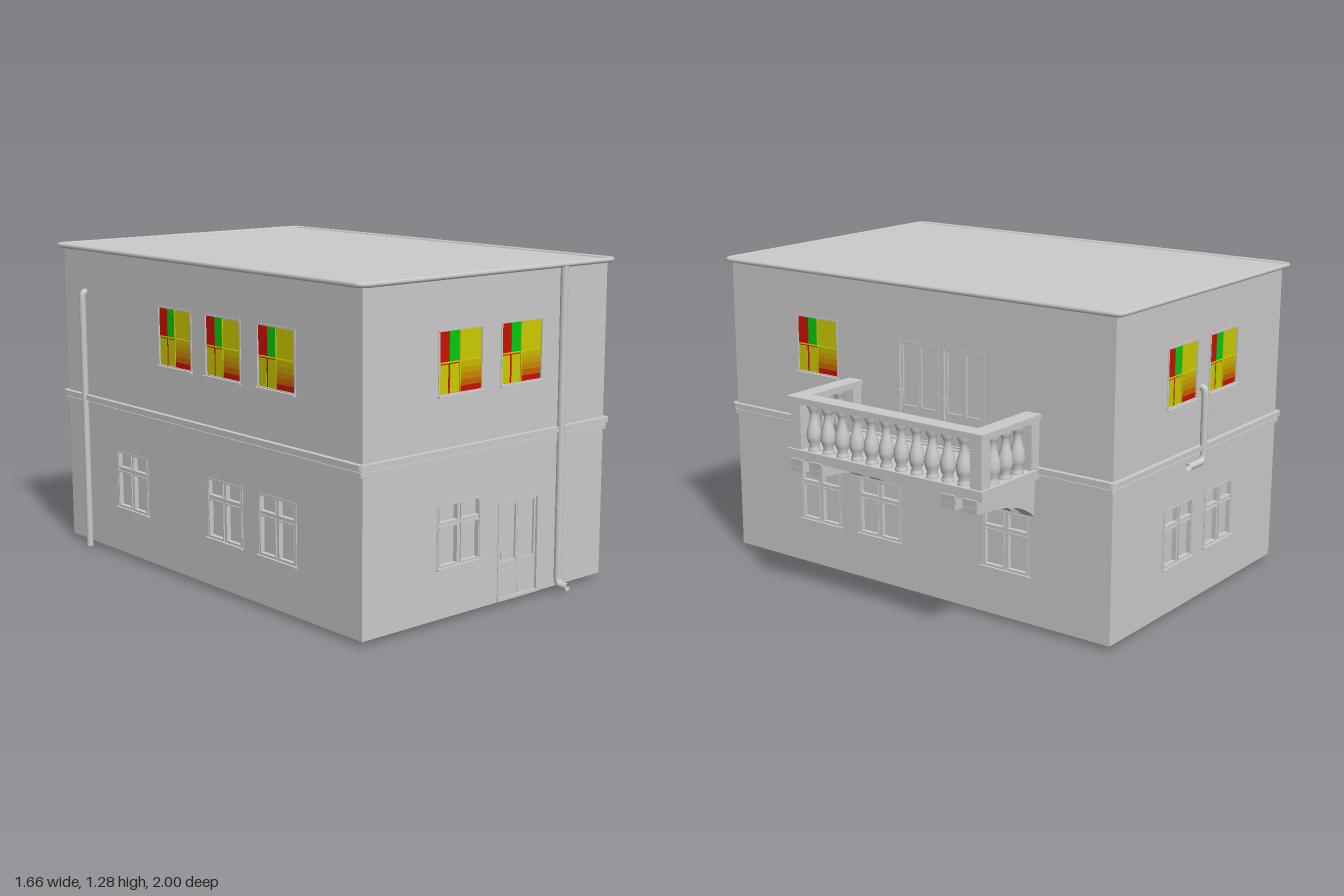
import * as THREE from 'three';

const mat = (color) => new THREE.MeshStandardMaterial({ color, side: THREE.DoubleSide });
const grey = mat(0xcccccc);
const yellow = mat(0xcccc00), green = mat(0x00cc11), red = mat(0xcc1100);
const fade = [0, 1, 2, 3, 4].map((i) => mat(new THREE.Color(0xcccc00).lerp(new THREE.Color(0xcc1100), 1 - i / 5)));

// House body extents
const X0 = -0.8, X1 = 0.46, Z0 = -0.965, Z1 = 0.93, Y0 = 0.02, Y1 = 1.275;
const CX = (X0 + X1) / 2, CZ = (Z0 + Z1) / 2;

function add(parent, name, geo, x = 0, y = 0, z = 0, material = grey) {
  const m = new THREE.Mesh(geo, material);
  m.name = name;
  m.position.set(x, y, z);
  parent.add(m);
  return m;
}
const box = (p, name, w, h, d, x, y, z, m) => add(p, name, new THREE.BoxGeometry(w, h, d), x, y, z, m);

function rect(Type, x0, y0, x1, y1) {
  return new Type([[x0, y0], [x1, y0], [x1, y1], [x0, y1]].map(([x, y]) => new THREE.Vector2(x, y)));
}

function roundRect(hw, hh, r) {
  const s = new THREE.Shape();
  s.absarc(hw - r, hh - r, r, 0, Math.PI / 2);
  s.absarc(r - hw, hh - r, r, Math.PI / 2, Math.PI);
  s.absarc(r - hw, r - hh, r, Math.PI, Math.PI * 1.5);
  s.absarc(hw - r, r - hh, r, Math.PI * 1.5, Math.PI * 2);
  s.closePath();
  return s;
}

// Thin frame around an opening, reaching into the house
function frame(p, x0, y0, x1, y1, t, depth) {
  const s = rect(THREE.Shape, x0, y0, x1, y1);
  s.holes.push(rect(THREE.Path, x0 + t, y0 + t, x1 - t, y1 - t));
  add(p, 'openingFrame', new THREE.ExtrudeGeometry(s, { depth, bevelEnabled: false }), 0, 0, 0.003 - depth);
}

const W = 0.225, H = 0.24;

function makeWindow(u, y, coloured) {
  const g = new THREE.Group();
  g.name = coloured ? 'upperWindow' : 'lowerWindow';
  g.position.set(u, y, 0);
  frame(g, -W / 2, 0, W / 2, H, 0.007, 0.035);
  box(g, 'sill', W + 0.006, 0.007, 0.02, 0, 0, 0.003);
  const pane = (x0, x1, y0, y1, m, z = -0.006) =>
    box(g, 'pane', x1 - x0, y1 - y0, 0.006, (x0 + x1) / 2, (y0 + y1) / 2, z, m);
  if (coloured) {
    pane(-0.107, -0.055, 0.122, 0.234, red);
    pane(-0.052, -0.005, 0.122, 0.234, green);
    pane(0, 0.107, 0.122, 0.234, yellow);
    pane(-0.107, -0.002, 0.006, 0.12, red, -0.008);
    pane(-0.104, -0.06, 0.008, 0.112, yellow);
    pane(-0.05, -0.006, 0.008, 0.112, yellow);
    fade.forEach((m, i) => pane(0, 0.107, 0.006 + i * 0.022, 0.028 + i * 0.022, m));
    box(g, 'transom', W, 0.004, 0.01, 0, 0.119, -0.005, yellow);
    box(g, 'mullion', 0.004, H, 0.01, -0.002, H / 2, -0.005, yellow);
  } else {
    pane(-0.107, 0.107, 0.006, 0.234, grey, -0.02);
    box(g, 'mullion', 0.022, H - 0.01, 0.02, 0, H / 2, -0.012);
    box(g, 'transom', W - 0.01, 0.014, 0.02, 0, 0.164, -0.012);
    for (const s of [-1, 1]) {
      const a = s * 0.055 - 0.048, b = s * 0.055 + 0.048;
      frame(g, a, 0.17, b, 0.236, 0.004, 0.018);
      frame(g, a, 0.006, b, 0.158, 0.006, 0.018);
    }
  }
  return g;
}

// Double door with tall glass panels and a lever handle
function makeDoor(u, y, w, h, glassFrom) {
  const g = new THREE.Group();
  g.name = 'doubleDoor';
  g.position.set(u, y, 0);
  frame(g, -w / 2, 0, w / 2, h, 0.012, 0.03);
  for (const s of [-1, 1]) {
    const lw = w / 2 - 0.013, x = s * (lw / 2 + 0.0005);
    const leaf = rect(THREE.Shape, x - lw / 2, 0, x + lw / 2, h - 0.012);
    leaf.holes.push(rect(THREE.Path, x - lw / 2 + 0.009, glassFrom, x + lw / 2 - 0.009, h - 0.022));
    add(g, 'doorLeaf', new THREE.ExtrudeGeometry(leaf, { depth: 0.014, bevelEnabled: false }), 0, 0, -0.02);
    box(g, 'doorGlass', lw - 0.018, h - 0.022 - glassFrom, 0.003, x, (h - 0.022 + glassFrom) / 2, -0.016);
  }
  box(g, 'doorHandle', 0.03, 0.006, 0.006, -w / 2 + 0.024, h * 0.49, 0.01);
  box(g, 'handlePlate', 0.008, 0.03, 0.02, -w / 2 + 0.014, h * 0.47, -0.002);
  return g;
}

// Wall in its own plane: u runs along it, +z points out of the house
function makeWall(name, x, z, turn, u0, u1, upper, lower, doors = []) {
  const g = new THREE.Group();
  g.name = name;
  g.position.set(x, 0, z);
  g.rotation.y = turn;
  const s = rect(THREE.Shape, u0, Y0, u1, Y1);
  for (const [list, y, col] of [[upper, 0.845, true], [lower, 0.21, false]]) {
    for (const u of list) {
      s.holes.push(rect(THREE.Path, u - W / 2, y, u + W / 2, y + H));
      g.add(makeWindow(u, y, col));
    }
  }
  for (const [u, y, w, h, glass] of doors) {
    s.holes.push(rect(THREE.Path, u - w / 2, y + 0.0005, u + w / 2, y + h));
    g.add(makeDoor(u, y, w, h, glass));
  }
  add(g, 'wallPanel', new THREE.ShapeGeometry(s));
  return g;
}

// Moulding ring running around the house
function band(p, name, out, y, h) {
  const s = roundRect((X1 - X0) / 2 + out, (Z1 - Z0) / 2 + out, out);
  s.holes.push(rect(THREE.Path, X0 - CX, Z0 - CZ, X1 - CX, Z1 - CZ));
  const geo = new THREE.ExtrudeGeometry(s, { depth: h, bevelEnabled: false }).rotateX(-Math.PI / 2);
  add(p, name, geo, CX, y, CZ);
}

// Round pipe through points, with tight bends
function pipe(p, name, pts, r) {
  const v = pts.map((a) => new THREE.Vector3(...a)), path = new THREE.CurvePath(), bend = 0.03;
  let from = v[0];
  for (let i = 1; i < v.length - 1; i++) {
    const cut = (q) => v[i].clone().add(q.clone().sub(v[i]).setLength(Math.min(bend, q.distanceTo(v[i]) * 0.6)));
    const a = cut(v[i - 1]), b = cut(v[i + 1]);
    path.add(new THREE.LineCurve3(from, a));
    path.add(new THREE.QuadraticBezierCurve3(a, v[i], b));
    from = b;
  }
  path.add(new THREE.LineCurve3(from, v[v.length - 1]));
  add(p, name, new THREE.TubeGeometry(path, 120, r, 14));
}

function makeBalcony() {
  const g = new THREE.Group();
  g.name = 'balcony';
  const zf = 0.29, zb = -0.65, xo = 0.825, zc = (zf + zb) / 2, len = zf - zb, t = 0.07;
  box(g, 'balconyFloor', xo - X1, 0.035, len, (xo + X1) / 2, 0.6325, zc);
  box(g, 'floorEdge', xo - X1 - 0.012, 0.012, len - 0.024, (xo + X1) / 2 - 0.006, 0.612, zc);
  // Handrail, with a slimmer strip beneath it
  for (const [y, h, inset] of [[0.851, 0.016, 0], [0.837, 0.012, 0.008]]) {
    const w = t - 2 * inset;
    box(g, 'frontRail', w, h, len - 2 * inset, xo - t / 2, y, zc);
    for (const z of [zf - t / 2, zb + t / 2]) box(g, 'sideRail', xo - t - X1 + inset, h, w, (X1 + xo - t + inset) / 2, y, z);
  }
  const profile = [[0.024, 0], [0.024, 0.012], [0.018, 0.02], [0.026, 0.04], [0.03, 0.06], [0.026, 0.09],
    [0.017, 0.12], [0.014, 0.145], [0.018, 0.16], [0.024, 0.17], [0.024, 0.185]];
  const baluster = new THREE.LatheGeometry(profile.map(([x, y]) => new THREE.Vector2(x, y)), 16);
  const xr = xo - t / 2, za = zf - t / 2, ze = zb + t / 2;
  for (let i = 1; i < 12; i++) add(g, 'baluster', baluster, xr, 0.65, za + (ze - za) * i / 12);
  for (const z of [za, ze]) {
    for (const x of [0.563, 0.638, 0.714]) add(g, 'baluster', baluster, x, 0.65, z);
    for (const x of [xr, 0.485]) box(g, 'railPost', 0.05, 0.19, 0.05, x, 0.74, z);
  }
  // Curved brackets in pairs
  const s = new THREE.Shape();
  s.moveTo(X1, 0.455);
  s.bezierCurveTo(0.54, 0.53, 0.65, 0.545, 0.815, 0.556);
  s.lineTo(0.82, 0.61);
  s.lineTo(X1, 0.61);
  s.closePath();
  const bracket = new THREE.ExtrudeGeometry(s, { depth: 0.06, bevelEnabled: false, curveSegments: 14 });
  for (const z of [0.255, 0.155, -0.49, -0.59]) {
    add(g, 'bracket', bracket, 0, 0, z - 0.03);
    box(g, 'bracketCap', 0.355, 0.03, 0.07, X1 + 0.18, 0.592, z);
  }
  return g;
}

export function createModel() {
  const house = new THREE.Group();
  house.name = 'house';

  // Walls, open at the bottom
  house.add(
    makeWall('frontWall', 0, Z1, 0, X0, X1, [-0.33, -0.0125], [-0.33], [[-0.0125, Y0, 0.225, 0.39, 0.15]]),
    makeWall('rightWall', X1, 0, Math.PI / 2, -Z1, -Z0, [-0.46], [-0.46, -0.14, 0.49],
      [[0.065, 0.65, 0.205, 0.4, 0.14], [0.285, 0.65, 0.205, 0.4, 0.14]]),
    makeWall('backWall', 0, Z0, Math.PI, -X1, -X0, [0.015, 0.33], [0.015, 0.33]),
    makeWall('leftWall', X0, 0, -Math.PI / 2, Z0, Z1, [-0.17, 0.14, 0.46], [-0.49, 0.14, 0.46]));

  // Flat roof with a rounded rim
  const roof = new THREE.ExtrudeGeometry(roundRect(0.645, 0.965, 0.02), { depth: 0.008, bevelEnabled: false });
  add(house, 'roof', roof.rotateX(-Math.PI / 2), CX, 1.268, -0.02);
  const rim = roundRect(0.65, 0.97, 0.025).getPoints(6).map((p) => new THREE.Vector3(p.x, 0, p.y));
  rim.pop();
  const rimPath = new THREE.CurvePath();
  rim.forEach((p, i) => rimPath.add(new THREE.LineCurve3(p, rim[(i + 1) % rim.length])));
  add(house, 'roofRim', new THREE.TubeGeometry(rimPath, 400, 0.01, 8, true), CX, 1.274, -0.02);

  // Ledge between the floors
  band(house, 'ledgeLower', 0.012, 0.61, 0.018);
  band(house, 'ledgeMiddle', 0.007, 0.628, 0.008);
  band(house, 'ledgeUpper', 0.02, 0.636, 0.02);

  house.add(makeBalcony());

  // Drain pipes and their clamps
  pipe(house, 'frontDownpipe', [[0.195, 1.27, 0.947], [0.195, 0.03, 0.947], [0.195, 0.03, 1]], 0.015);
  pipe(house, 'leftDownpipe', [[-0.79, 1.09, -0.81], [-0.816, 1.09, -0.81], [-0.816, 0, -0.81]], 0.014);
  pipe(house, 'backPipe', [[-0.16, 0.885, -0.96], [-0.16, 0.885, -0.984], [-0.16, 0.592, -0.984], [-0.05, 0.592, -0.984]], 0.014);
  for (const y of [0.34, 0.99]) {
    add(house, 'pipeClamp', new THREE.CylinderGeometry(0.018, 0.018, 0.008, 14), 0.195, y, 0.947);
    add(house, 'pipeClamp', new THREE.CylinderGeometry(0.016, 0.016, 0.008, 14), -0.816, y - 0.14, -0.81);
  }
  return house;
}
